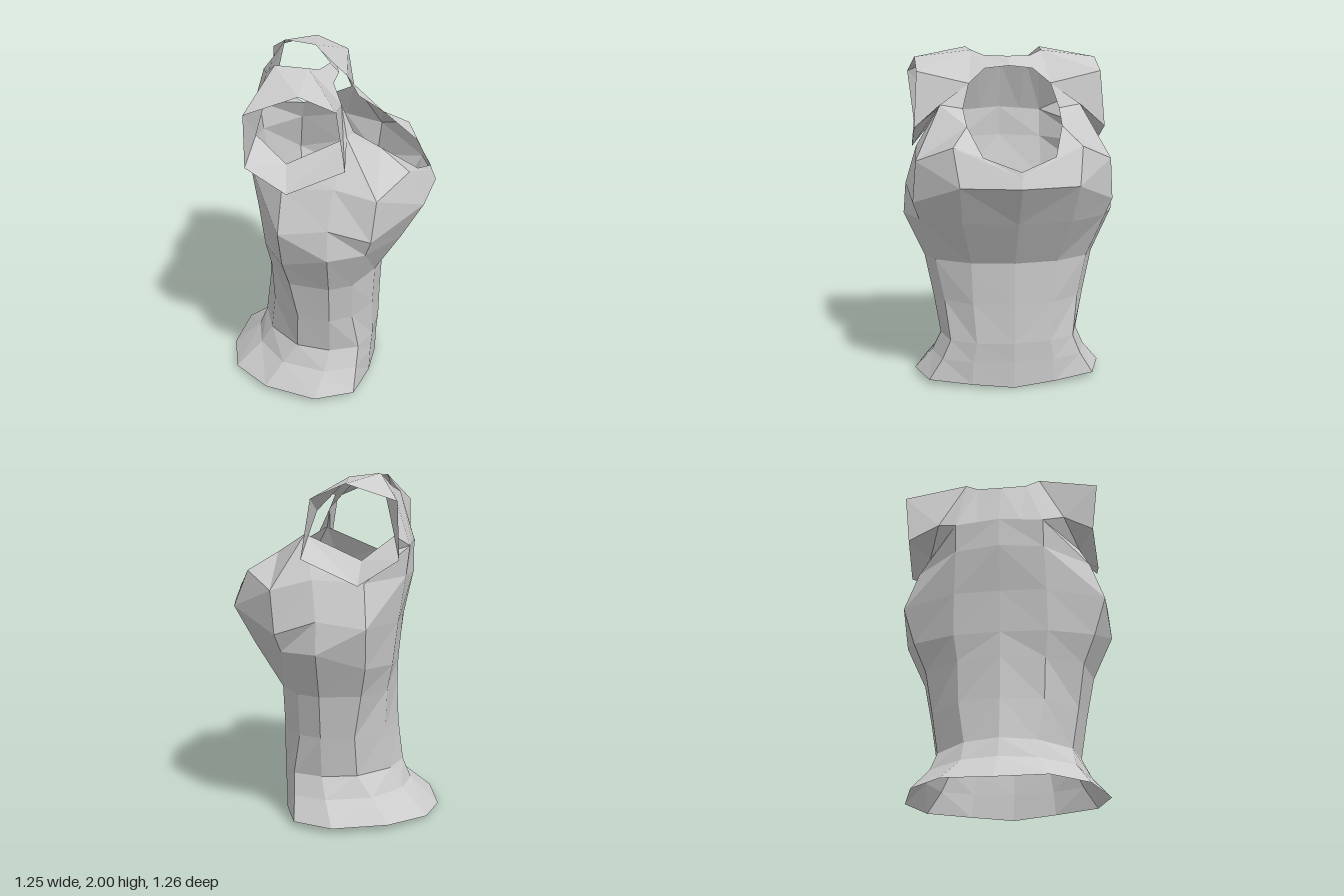
import * as THREE from 'three';

const material = new THREE.MeshStandardMaterial({ color: 0xcccccc, flatShading: true, side: THREE.DoubleSide });

// Skins rows of [x, y, z] points with quads, mirrored across z = 0
function skin(name, rows) {
  const pos = [];
  for (const side of [1, -1]) {
    const tri = (...pts) => {
      if (side < 0) pts.reverse();
      for (const p of pts) pos.push(p[0], p[1], p[2] * side);
    };
    for (let r = 0; r < rows.length - 1; r++) {
      for (let c = 0; c < rows[r].length - 1; c++) {
        const a = rows[r][c], b = rows[r][c + 1], d = rows[r + 1][c + 1], e = rows[r + 1][c];
        tri(a, e, d);
        tri(a, d, b);
      }
    }
  }
  const geometry = new THREE.BufferGeometry();
  geometry.setAttribute('position', new THREE.Float32BufferAttribute(pos, 3));
  geometry.computeVertexNormals();
  const mesh = new THREE.Mesh(geometry, material);
  mesh.name = name;
  return mesh;
}

// Level half ring from [x, z] pairs, running from chest to back
const level = (y, pts) => pts.map(([x, z]) => [x, y, z]);

export function createModel() {
  const group = new THREE.Group();
  group.name = 'sleevelessTop';

  // Waist ring shared by the skirt and the chest
  const waist = level(0.77, [[0.325, 0], [0.285, 0.25], [0.16, 0.45], [0.03, 0.51], [-0.2, 0.46], [-0.33, 0.25], [-0.37, 0]]);

  // Points shared around the armhole: top back, top front, neck, front, underarm, back
  const hole = [
    [-0.28, 2, 0.23], [-0.1, 1.98, 0.21], [0.08, 1.79, 0.24],
    [0.12, 1.67, 0.41], [-0.2, 1.53, 0.46], [-0.37, 1.66, 0.38],
  ];
  const neckSide = [0.3, 1.56, 0.27];
  const bladeCorner = [-0.45, 1.6, 0.26];
  const backMiddle = [-0.46, 1.62, 0];

  // Flared hem up to the waist
  group.add(skin('skirt', [
    [[0.295, 0, 0], [0.265, 0.02, 0.25], [0.18, 0.03, 0.5], [-0.05, 0.03, 0.58], [-0.36, 0.03, 0.48], [-0.57, 0.02, 0.28], [-0.63, 0, 0]],
    level(0.16, [[0.3, 0], [0.27, 0.24], [0.19, 0.42], [0, 0.475], [-0.26, 0.4], [-0.42, 0.2], [-0.46, 0]]),
    level(0.28, [[0.31, 0], [0.28, 0.22], [0.2, 0.37], [0.03, 0.42], [-0.17, 0.38], [-0.35, 0.2], [-0.41, 0]]),
    level(0.52, [[0.315, 0], [0.275, 0.24], [0.16, 0.4], [0.03, 0.46], [-0.16, 0.42], [-0.32, 0.24], [-0.38, 0]]),
    waist,
  ]));

  // Swelling chest up to the neck rim and underarms
  group.add(skin('chest', [
    waist,
    [[0.48, 1.03, 0], [0.43, 1.03, 0.31], [0.235, 1.03, 0.545], [0.03, 1.03, 0.63], [-0.23, 0.94, 0.53], [-0.36, 0.92, 0.27], [-0.375, 0.92, 0]],
    [[0.625, 1.25, 0], [0.55, 1.25, 0.33], [0.265, 1.13, 0.58], [0.03, 1.21, 0.615], [-0.24, 1.17, 0.6], [-0.39, 1.17, 0.27], [-0.4, 1.17, 0]],
    [[0.6, 1.31, 0], [0.46, 1.46, 0.36], [0.29, 1.37, 0.56], [0.06, 1.43, 0.55], [-0.22, 1.41, 0.52], [-0.43, 1.43, 0.26], [-0.46, 1.44, 0]],
    [[0.59, 1.34, 0], [0.51, 1.41, 0.2], neckSide, hole[3], hole[4], bladeCorner, backMiddle],
  ]));

  // Shoulder front, between neck rim and armhole
  group.add(skin('shoulderFront', [[hole[3], hole[2]], [neckSide, [0.15, 1.65, 0.28]]]));

  // Shoulder blade, between armhole and upper back
  group.add(skin('shoulderBlade', [[hole[5], hole[4]], [hole[0], bladeCorner]]));

  // Upper back, with its dipped top edge
  group.add(skin('upperBack', [
    [bladeCorner, [-0.455, 1.61, 0.13], backMiddle],
    [hole[0], [-0.335, 1.93, 0.15], [-0.375, 1.9, 0]],
  ]));

  // Narrow band above the neck opening
  group.add(skin('neckBand', [
    [[0.05, 1.89, 0], [0.03, 1.875, 0.14], hole[2]],
    [[0, 1.945, 0], [-0.05, 1.95, 0.14], hole[1]],
  ]));

  // Short open sleeves
  const cuff = [
    [-0.4, 1.85, 0.585], [-0.12, 1.94, 0.545], [0.07, 1.86, 0.54],
    [0.12, 1.54, 0.56], [-0.19, 1.4, 0.57], [-0.41, 1.54, 0.55],
  ];
  group.add(skin('sleeves', [[...hole, hole[0]], [...cuff, cuff[0]]]));

  return group;
}
